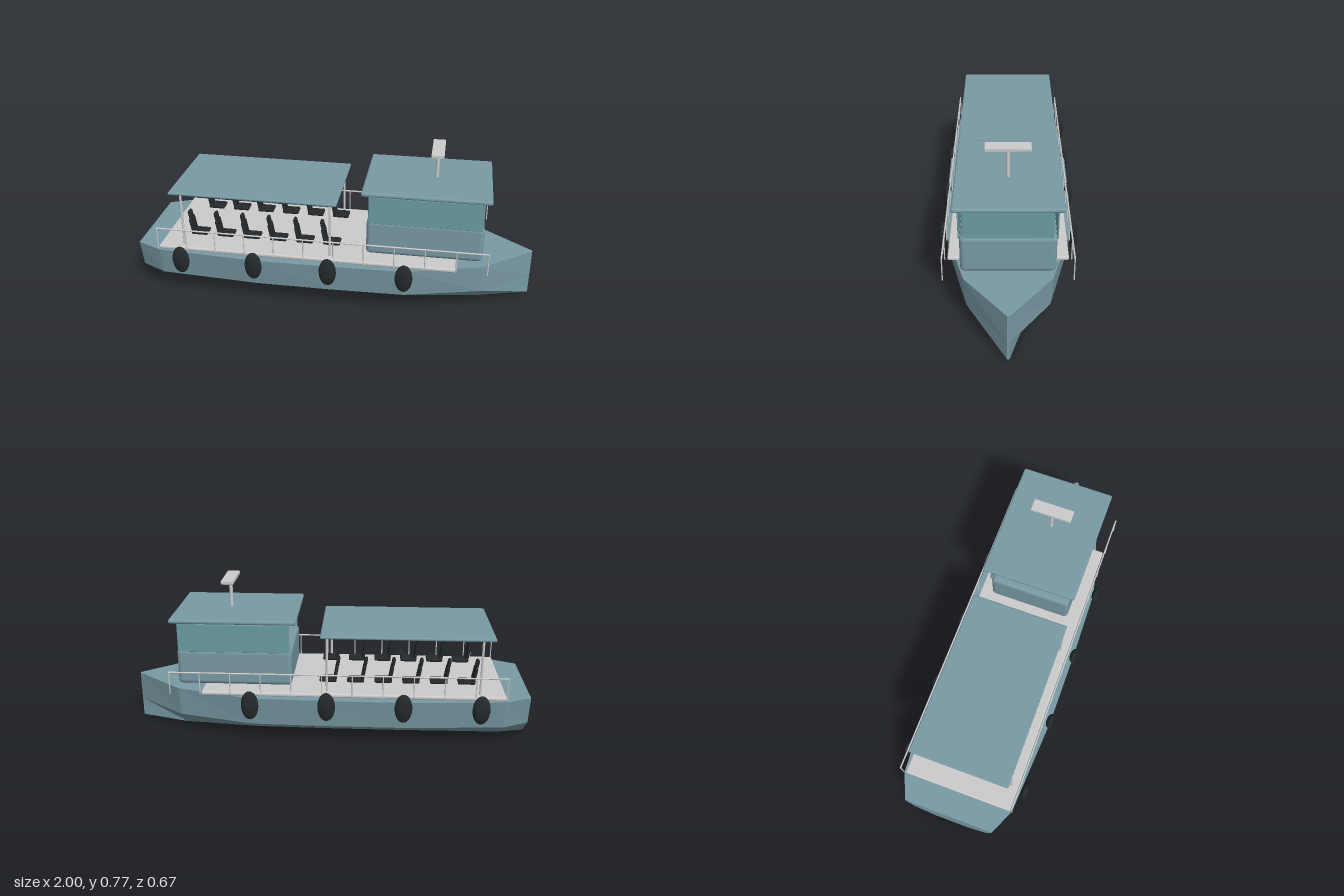
import * as THREE from 'three';
import { RoundedBoxGeometry } from 'three/addons/geometries/RoundedBoxGeometry.js';

const mat = (color) => new THREE.MeshStandardMaterial({ color });
const grey = mat(0xcccccc), paint = mat(0x7899a3), glass = mat(0x6a9ca3), dark = mat(0x24292c);

function add(parent, name, geometry, material, x = 0, y = 0, z = 0) {
  const mesh = new THREE.Mesh(geometry, material);
  mesh.name = name;
  mesh.position.set(x, y, z);
  parent.add(mesh);
  return mesh;
}

// Rounded box given by its extents along x and y and its half width in z
function slab(parent, name, material, [x0, x1], [y0, y1], halfZ, radius, z = 0) {
  const geometry = new RoundedBoxGeometry(x1 - x0, y1 - y0, halfZ * 2, 3, radius);
  return add(parent, name, geometry, material, (x0 + x1) / 2, (y0 + y1) / 2, z);
}

function post(parent, name, x, z, y0, y1, r) {
  return add(parent, name, new THREE.CylinderGeometry(r, r, y1 - y0, 12), grey, x, (y0 + y1) / 2, z);
}

// Hard-chined hull lofted through cross-sections from stern to bow
function hullGeometry() {
  // x, half width at deck, at chine, at bottom
  const stations = [
    [-1, 0.23, 0.2, 0.09], [-0.87, 0.288, 0.265, 0.12], [-0.375, 0.318, 0.295, 0.127],
    [0, 0.315, 0.295, 0.127], [0.375, 0.305, 0.285, 0.12], [0.75, 0.2, 0.19, 0.08],
    [1, 0.005, 0.005, 0.005],
  ];
  const rings = stations.map(([x, t, c, b]) => [
    [x, 0.24, t], [x, 0.095, c], [x, 0, b], [x, 0, -b], [x, 0.095, -c], [x, 0.24, -t],
  ]);
  const pos = [];
  const tri = (...pts) => pts.forEach((p) => pos.push(...p));
  for (let i = 0; i < rings.length - 1; i++) {
    for (let j = 0; j < 6; j++) {
      const k = (j + 1) % 6, p = rings[i], q = rings[i + 1];
      tri(p[j], p[k], q[k]);
      tri(p[j], q[k], q[j]);
    }
  }
  const stern = rings[0], bow = rings[rings.length - 1];
  for (let j = 1; j < 5; j++) {
    tri(stern[0], stern[j + 1], stern[j]);
    tri(bow[0], bow[j], bow[j + 1]);
  }
  const geometry = new THREE.BufferGeometry();
  geometry.setAttribute('position', new THREE.Float32BufferAttribute(pos, 3));
  geometry.computeVertexNormals();
  return geometry;
}

// Passenger seat facing the bow: cushion, leaning back and headrest
function createSeat() {
  const seat = new THREE.Group();
  seat.name = 'seat';
  slab(seat, 'cushion', dark, [0.005, 0.09], [0.283, 0.3], 0.033, 0.007);
  const back = new THREE.Group();
  back.name = 'backrest';
  back.position.set(0.016, 0.285, 0);
  back.rotation.z = 0.17;
  slab(back, 'backPanel', dark, [-0.008, 0.008], [0, 0.085], 0.031, 0.007);
  slab(back, 'headrest', dark, [-0.009, 0.008], [0.08, 0.124], 0.019, 0.008);
  seat.add(back);
  return seat;
}

export function createModel() {
  const boat = new THREE.Group();
  boat.name = 'ferryBoat';

  add(boat, 'hull', hullGeometry(), paint);
  slab(boat, 'deck', grey, [-0.875, 0.62], [0.24, 0.26], 0.278, 0.008);

  // Wheelhouse: solid base, window panels on three sides, open at the back
  const cabin = new THREE.Group();
  cabin.name = 'wheelhouse';
  boat.add(cabin);
  slab(cabin, 'cabinBase', paint, [0.175, 0.745], [0.271, 0.454], 0.213, 0.022);
  slab(cabin, 'frontWindow', glass, [0.731, 0.738], [0.445, 0.588], 0.197, 0.002);
  for (const side of [-1, 1])
    slab(cabin, 'sideWindow', glass, [0.185, 0.735], [0.445, 0.586], 0.003, 0.002, side * 0.215);
  slab(cabin, 'cabinRoof', paint, [0.15, 0.77], [0.595, 0.617], 0.241, 0.01);
  post(cabin, 'radarMast', 0.498, 0, 0.61, 0.76, 0.009);
  slab(cabin, 'radarBar', grey, [0.467, 0.529], [0.756, 0.775], 0.103, 0.003);

  // Passenger canopy on four posts
  slab(boat, 'canopy', paint, [-0.812, 0.034], [0.533, 0.548], 0.249, 0.007);
  for (const x of [-0.75, 0])
    for (const z of [-0.24, 0.24]) post(boat, 'canopyPost', x, z, 0.25, 0.537, 0.006);

  // Two rows of seats
  for (const z of [-0.15, 0.15]) {
    for (let i = 0; i < 6; i++) {
      const seat = createSeat();
      seat.position.set(-0.737 + i * 0.1375, 0, z);
      boat.add(seat);
    }
  }

  // Railings and fenders along both sides
  const fender = new THREE.SphereGeometry(1, 28, 18);
  for (const side of [-1, 1]) {
    const rail = new THREE.Group();
    rail.name = side > 0 ? 'frontRailing' : 'rearRailing';
    boat.add(rail);
    const bar = post(rail, 'handrail', -0.052, side * 0.289, 0, 1.65, 0.004);
    bar.rotation.z = Math.PI / 2;
    bar.position.y = 0.363;
    for (let i = 0; i <= 11; i++)
      post(rail, 'railPost', -0.873 + i * 0.1495, side * 0.289, 0.25, 0.366, 0.003);
    for (const x of [-0.75, -0.375, 0, 0.375])
      add(boat, 'fender', fender, dark, x, 0.208, side * 0.315).scale.set(0.043, 0.074, 0.021);
  }
  return boat;
}
